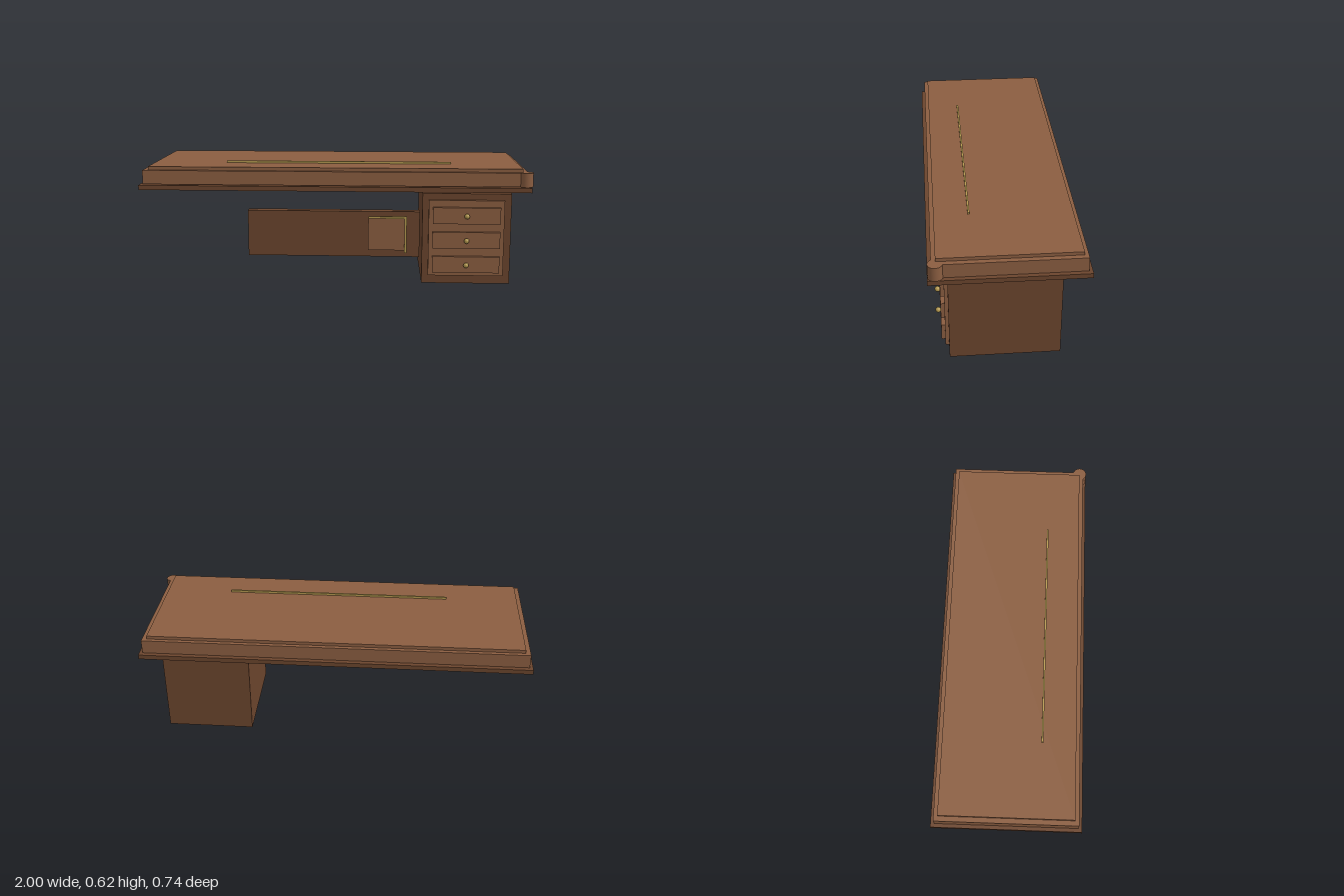
import * as THREE from 'three';

const darkWood = new THREE.MeshStandardMaterial({ color: 0x6b452d });
const lightWood = new THREE.MeshStandardMaterial({ color: 0x8b5e41 });
const brass = new THREE.MeshStandardMaterial({ color: 0xb59a50 });

export function createModel() {
  const desk = new THREE.Group();
  desk.name = 'desk';

  const addGroup = (name) => {
    const group = new THREE.Group();
    group.name = name;
    desk.add(group);
    return group;
  };
  const add = (parent, name, geometry, material, x, y, z) => {
    const mesh = new THREE.Mesh(geometry, material);
    mesh.name = name;
    mesh.position.set(x, y, z);
    parent.add(mesh);
  };
  // Box given by its [min, max] range on each axis
  const box = (parent, name, material, [x0, x1], [y0, y1], [z0, z1]) =>
    add(parent, name, new THREE.BoxGeometry(x1 - x0, y1 - y0, z1 - z0), material,
      (x0 + x1) / 2, (y0 + y1) / 2, (z0 + z1) / 2);

  // Stepped desktop with inlay strip and one corner post
  const top = addGroup('desktop');
  box(top, 'baseSlab', darkWood, [-1, 0.99], [0.494, 0.518], [-0.372, 0.372]);
  box(top, 'upperSlab', lightWood, [-0.982, 0.972], [0.521, 0.592], [-0.353, 0.353]);
  box(top, 'topPanel', lightWood, [-0.957, 0.947], [0.592, 0.609], [-0.333, 0.333]);
  box(top, 'inlayStrip', brass, [-0.578, 0.597], [0.609, 0.62], [0.161, 0.17]);
  add(top, 'cornerPost', new THREE.CylinderGeometry(0.035, 0.035, 0.071, 32), lightWood,
    0.963, 0.5565, 0.335);

  // Drawer pedestal
  const pedestal = addGroup('pedestal');
  box(pedestal, 'cabinet', darkWood, [0.449, 0.903], [0, 0.473], [-0.252, 0.281]);
  box(pedestal, 'facePanel', lightWood, [0.481, 0.867], [0.045, 0.44], [0.281, 0.298]);
  for (const y of [0.107, 0.235, 0.363]) {
    box(pedestal, 'drawerFront', lightWood, [0.502, 0.846], [y - 0.0425, y + 0.0425], [0.298, 0.316]);
    add(pedestal, 'drawerKnob', new THREE.SphereGeometry(0.0135, 24, 16), brass, 0.674, y, 0.327);
  }

  // Front modesty panel with a trimmed square plaque
  const modesty = addGroup('modestyPanel');
  box(modesty, 'panel', darkWood, [-0.444, 0.433], [0.154, 0.389], [0.297, 0.345]);
  box(modesty, 'plaque', lightWood, [0.172, 0.36], [0.191, 0.357], [0.345, 0.361]);
  box(modesty, 'plaqueTopTrim', brass, [0.172, 0.358], [0.356, 0.366], [0.359, 0.368]);
  box(modesty, 'plaqueSideTrim', brass, [0.356, 0.367], [0.18, 0.368], [0.359, 0.369]);

  return desk;
}
